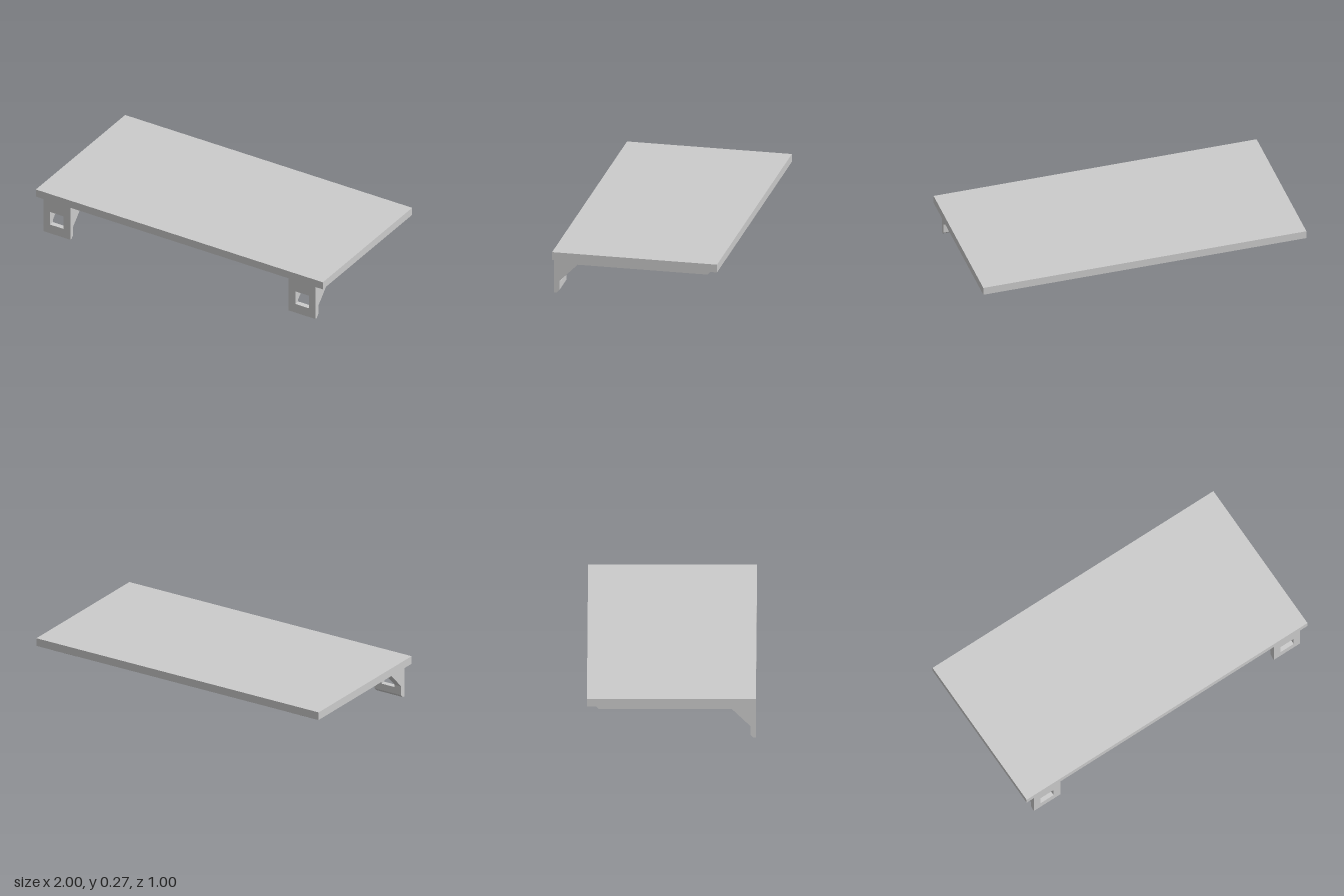
import * as THREE from 'three';

const material = new THREE.MeshStandardMaterial({ color: 0xcccccc, flatShading: true });

const deckBottom = 0.222, deckTop = 0.271;
const holeBottom = 0.06, holeTop = 0.147;

// Side outlines as [z, y] points
const runner = [[0.357, 0.185], [-0.43, 0.185], [-0.453, 0.208], [-0.453, deckBottom], [0.5, deckBottom]];
const toe = [[0.5, 0], [0.485, 0], [0.467, 0.018]];
const cheekOutline = [...toe, [0.467, 0.075], ...runner];
const railOutline = [[0.5, holeTop], [0.395, holeTop], ...runner];
const footOutline = [...toe, [0.467, holeBottom], [0.5, holeBottom]];

// Extrude a side outline across x, from x0 to x1
function slab(name, outline, x0, x1) {
  const shape = new THREE.Shape(outline.map(([z, y]) => new THREE.Vector2(z, y)));
  const geometry = new THREE.ExtrudeGeometry(shape, { depth: x1 - x0, bevelEnabled: false });
  geometry.rotateY(-Math.PI / 2).translate(x1, 0, 0);
  const mesh = new THREE.Mesh(geometry, material);
  mesh.name = name;
  return mesh;
}

// Bracket with a square window between two cheeks; side is +1 (left) or -1 (right)
function bracket(side) {
  const group = new THREE.Group();
  group.name = side > 0 ? 'leftBracket' : 'rightBracket';
  const [outer, holeOuter, holeInner, inner] = [0.948, 0.902, 0.808, 0.76];
  const span = (a, b) => [side * a, side * b].sort((p, q) => p - q);
  group.add(
    slab('outerCheek', cheekOutline, ...span(holeOuter, outer)),
    slab('innerCheek', cheekOutline, ...span(inner, holeInner)),
    slab('runner', railOutline, ...span(holeInner, holeOuter)),
    slab('foot', footOutline, ...span(holeInner, holeOuter))
  );
  return group;
}

export function createModel() {
  const model = new THREE.Group();
  model.name = 'shelf';

  // Flat board
  const deck = new THREE.Mesh(new THREE.BoxGeometry(2, deckTop - deckBottom, 1), material);
  deck.name = 'deck';
  deck.position.y = (deckTop + deckBottom) / 2;
  model.add(deck);

  // Mirrored brackets under the board
  for (const side of [1, -1]) model.add(bracket(side));
  return model;
}
